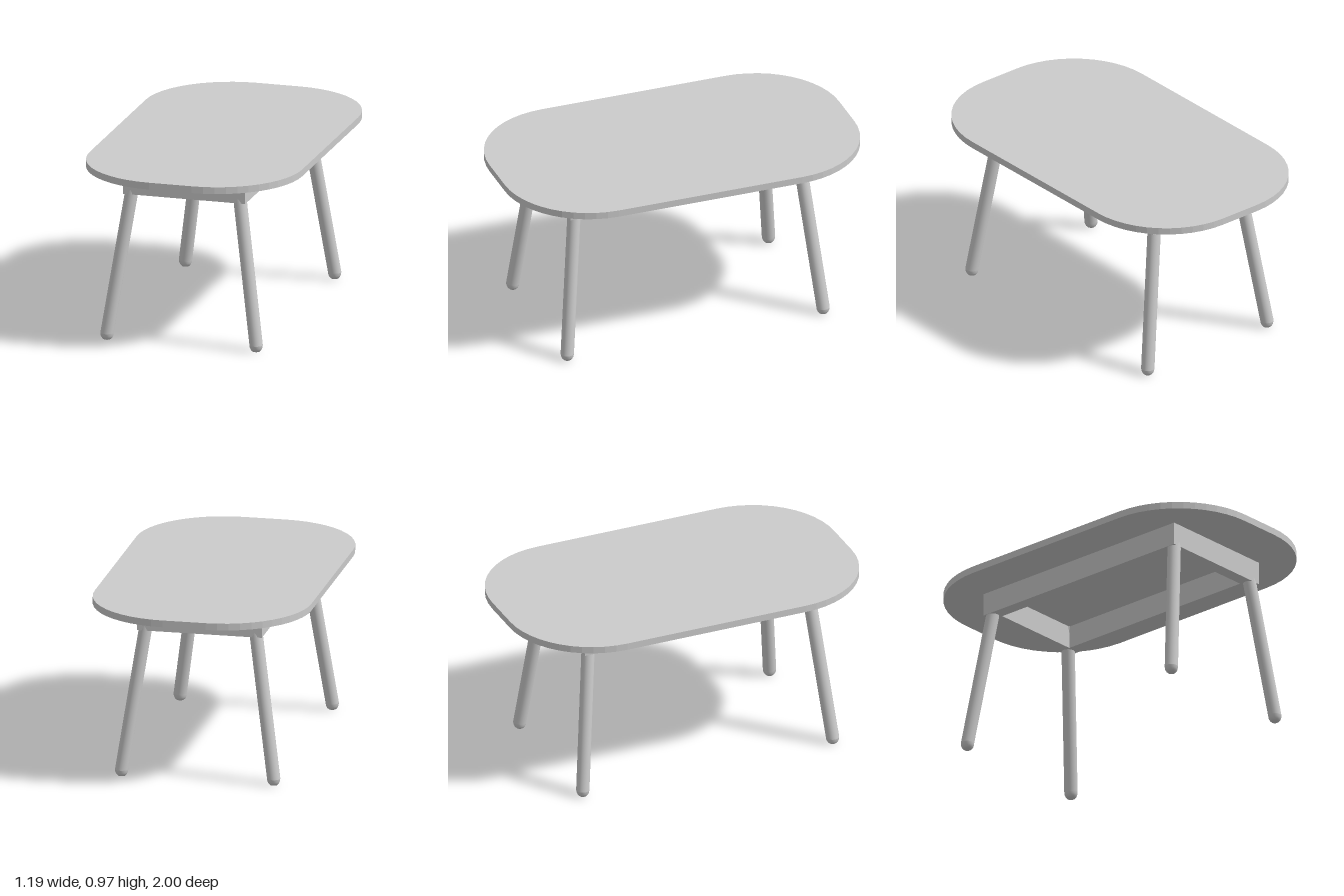
import * as THREE from 'three';

const material = new THREE.MeshStandardMaterial({ color: 0xcccccc });

// Rounded rectangle outline, centred on the origin
function roundedRect(halfW, halfL, r) {
  const s = new THREE.Shape();
  s.moveTo(halfW, -halfL + r);
  s.lineTo(halfW, halfL - r);
  s.absarc(halfW - r, halfL - r, r, 0, Math.PI / 2);
  s.absarc(-halfW + r, halfL - r, r, Math.PI / 2, Math.PI);
  s.absarc(-halfW + r, -halfL + r, r, Math.PI, Math.PI * 1.5);
  s.absarc(halfW - r, -halfL + r, r, Math.PI * 1.5, Math.PI * 2);
  return s;
}

// Sharp rectangle outline
function rect(PathType, halfW, halfL) {
  const corners = [[-halfW, -halfL], [halfW, -halfL], [halfW, halfL], [-halfW, halfL]];
  return new PathType(corners.map(([x, z]) => new THREE.Vector2(x, z)));
}

// Extrudes a floor-plan shape upwards from y0 to y1
function slab(name, shape, y0, y1) {
  const geo = new THREE.ExtrudeGeometry(shape, { depth: y1 - y0, bevelEnabled: false, curveSegments: 6 });
  geo.rotateX(-Math.PI / 2).translate(0, y0, 0);
  const mesh = new THREE.Mesh(geo, material);
  mesh.name = name;
  return mesh;
}

const LEG_R = 0.036;
const FOOT_H = 0.036;
const APRON_BOTTOM = 0.803;
const TOP_BOTTOM = 0.929;
const TOP_SURFACE = 0.967;

// Splayed leg whose horizontal sections stay circular, with a domed foot
function createLeg(name, sx, sz) {
  const foot = new THREE.Vector3(sx * 0.417, FOOT_H, sz * 0.7315);
  const head = new THREE.Vector3(sx * 0.286, TOP_BOTTOM, sz * 0.638);
  const height = head.y - foot.y;
  const leg = new THREE.Group();
  leg.name = name;

  const geo = new THREE.CylinderGeometry(LEG_R, LEG_R, height, 20);
  geo.translate(0, height / 2, 0);
  geo.applyMatrix4(new THREE.Matrix4().set(
    1, (head.x - foot.x) / height, 0, foot.x,
    0, 1, 0, foot.y,
    0, (head.z - foot.z) / height, 1, foot.z,
    0, 0, 0, 1));
  const shaft = new THREE.Mesh(geo, material);
  shaft.name = 'legShaft';

  const profile = [[0, 0], [0.02, 0.001], [0.028, 0.009], [0.034, 0.021], [LEG_R, FOOT_H]];
  const cap = new THREE.Mesh(
    new THREE.LatheGeometry(profile.map(([x, y]) => new THREE.Vector2(x, y)), 20), material);
  cap.name = 'footCap';
  cap.position.set(foot.x, 0, foot.z);

  leg.add(shaft, cap);
  return leg;
}

export function createModel() {
  const model = new THREE.Group();
  model.name = 'table';

  model.add(slab('tabletop', roundedRect(0.594, 1, 0.475), TOP_BOTTOM, TOP_SURFACE));

  // Apron and legs sit slightly off centre beneath the top
  const base = new THREE.Group();
  base.name = 'base';
  base.position.set(-0.012, 0, 0.019);

  const frame = rect(THREE.Shape, 0.342, 0.6845);
  frame.holes.push(rect(THREE.Path, 0.27, 0.6125));
  base.add(slab('apron', frame, APRON_BOTTOM, TOP_BOTTOM));

  for (const [side, sx] of [['Left', 1], ['Right', -1]]) {
    for (const [end, sz] of [['front', 1], ['back', -1]]) {
      base.add(createLeg(`${end}${side}Leg`, sx, sz));
    }
  }
  model.add(base);
  return model;
}
